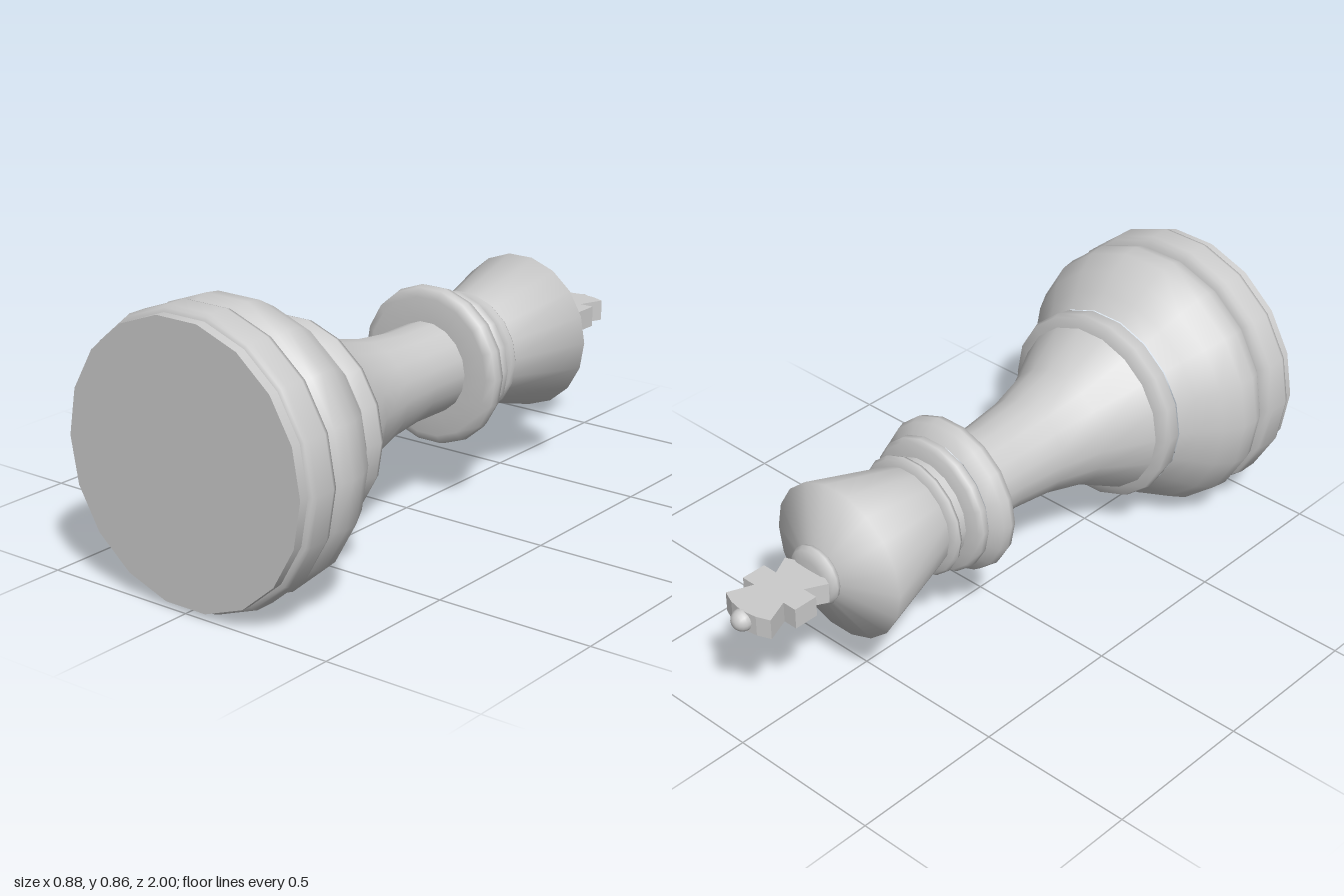
import * as THREE from 'three';

const SIDES = 18;
const material = new THREE.MeshStandardMaterial({ color: 0xcccccc });

// Turned part: [radius, height] pairs, from the foot upwards
function turned(name, profile) {
  const points = profile.map(([r, h]) => new THREE.Vector2(r, h));
  const mesh = new THREE.Mesh(new THREE.LatheGeometry(points, SIDES, Math.PI / 2), material);
  mesh.name = name;
  return mesh;
}

// Flared cross with bowed ends, mirrored about its upright axis
function makeCross() {
  const half = [
    [0, -0.028], [0.05, -0.022], [0.09, -0.005], [0.057, 0.06], [0.107, 0.06],
    [0.107, 0.14], [0.06, 0.14], [0.092, 0.218], [0.05, 0.235], [0, 0.243],
  ];
  const mirrored = half.slice(1, -1).reverse().map(([x, y]) => [-x, y]);
  const shape = new THREE.Shape([...half, ...mirrored].map(([x, y]) => new THREE.Vector2(x, y)));
  const depth = 0.066;
  const geometry = new THREE.ExtrudeGeometry(shape, { depth, bevelEnabled: false });
  geometry.translate(0, 0.725, -depth / 2);
  const mesh = new THREE.Mesh(geometry, material);
  mesh.name = 'cross';
  return mesh;
}

export function createModel() {
  const model = new THREE.Group();
  model.name = 'chessKing';

  // Foot
  model.add(turned('underside', [[0, -1], [0.42, -1]]));
  model.add(turned('plinth', [[0.42, -1], [0.42, -0.965]]));
  model.add(turned('baseBand', [
    [0.415, -0.97], [0.432, -0.965], [0.438, -0.95], [0.438, -0.885], [0.432, -0.868], [0.405, -0.86],
  ]));
  model.add(turned('baseBulge', [
    [0.405, -0.86], [0.425, -0.835], [0.436, -0.8], [0.43, -0.75], [0.395, -0.685],
    [0.345, -0.63], [0.305, -0.58],
  ]));
  model.add(turned('baseRing', [
    [0.295, -0.58], [0.305, -0.575], [0.314, -0.525], [0.308, -0.508], [0.27, -0.5],
  ]));

  // Stem
  model.add(turned('stem', [
    [0.276, -0.5], [0.198, -0.35], [0.16, -0.2], [0.143, -0.04], [0.144, 0.1],
  ]));

  // Collars
  model.add(turned('lowerCollar', [
    [0.14, 0.1], [0.22, 0.102], [0.247, 0.115], [0.252, 0.135], [0.244, 0.16], [0.208, 0.187],
  ]));
  model.add(turned('upperCollar', [
    [0.204, 0.186], [0.219, 0.198], [0.22, 0.22], [0.208, 0.234], [0.165, 0.242],
  ]));
  model.add(turned('neck', [[0.168, 0.24], [0.166, 0.285]]));
  model.add(turned('neckRing', [
    [0.166, 0.276], [0.19, 0.282], [0.196, 0.295], [0.188, 0.307], [0.165, 0.312],
  ]));

  // Head and finial
  model.add(turned('crown', [[0.167, 0.308], [0.25, 0.598], [0.085, 0.672]]));
  model.add(turned('finialRing', [
    [0.075, 0.665], [0.09, 0.676], [0.095, 0.69], [0.086, 0.703], [0.06, 0.713], [0, 0.716],
  ]));
  model.add(makeCross());

  const ball = new THREE.Mesh(new THREE.SphereGeometry(0.034, 16, 10), material);
  ball.name = 'topBall';
  ball.position.y = 0.966;
  model.add(ball);

  // Lay the piece down, foot to the front
  model.rotation.x = -Math.PI / 2;
  model.position.y = 0.432;
  const root = new THREE.Group();
  root.name = 'lyingChessKing';
  root.add(model);
  return root;
}
